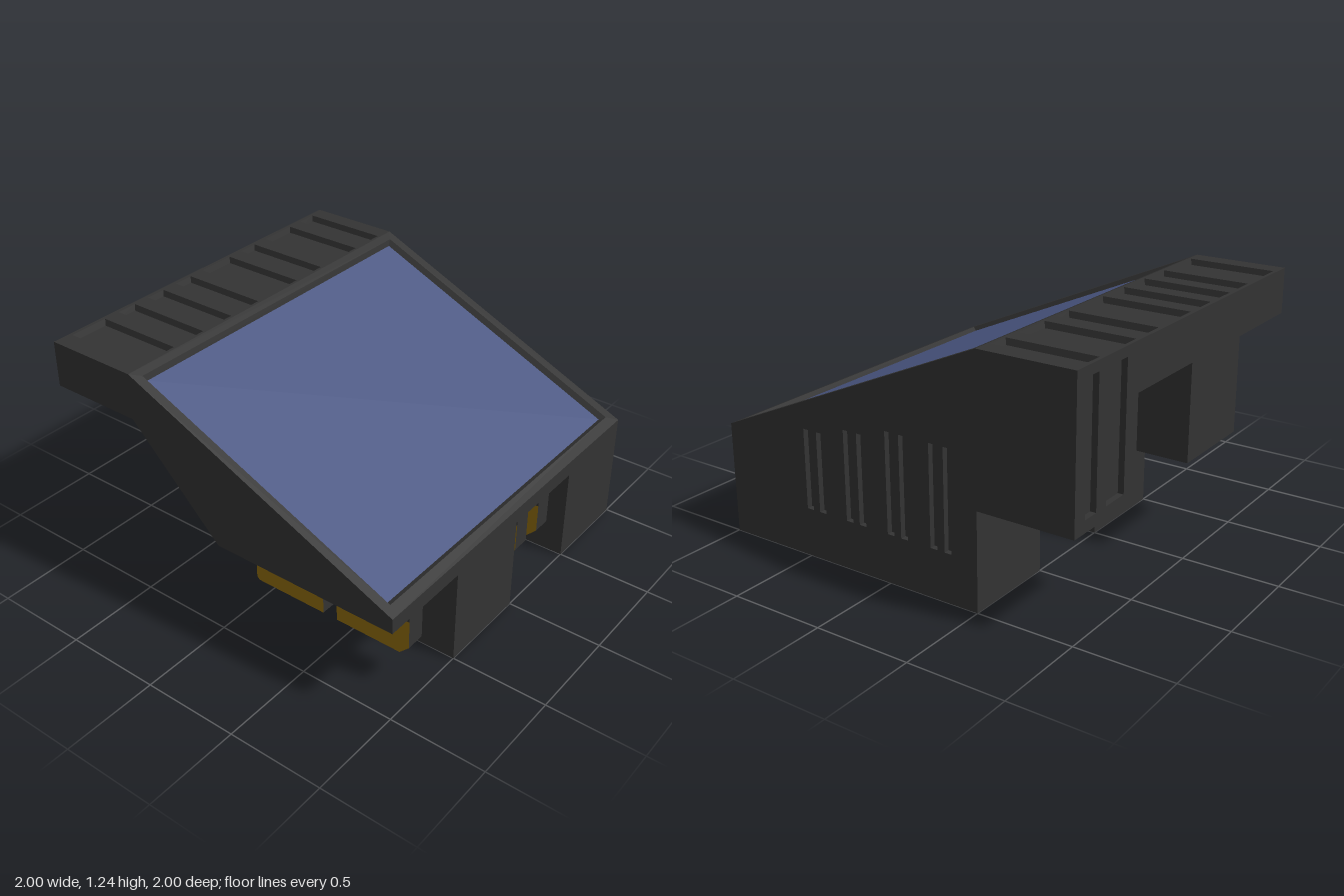
import * as THREE from 'three';

const dark = new THREE.MeshStandardMaterial({ color: 0x333333 });
const gold = new THREE.MeshStandardMaterial({ color: 0x8f6c0e });
const glass = new THREE.MeshStandardMaterial({ color: 0x4b5783 });

const rect = (a, b, c, d) => [[a, b], [c, b], [c, d], [a, d]];
const toVec = (pts) => pts.map(([x, y]) => new THREE.Vector2(x, y));
const X = new THREE.Vector3(1, 0, 0), Y = new THREE.Vector3(0, 1, 0), Z = new THREE.Vector3(0, 0, 1);
const neg = (v) => v.clone().negate();

// Tapered side walls of a sunken rectangle [a, b, c, d]
function recessWalls([a, b, c, d], depth, inset) {
  const top = rect(a, b, c, d);
  const low = rect(a + inset, b + inset, c - inset, d - inset);
  const pos = [];
  for (let i = 0; i < 4; i++) {
    const j = (i + 1) % 4;
    const p = [...top[i], 0], q = [...top[j], 0], r = [...low[j], -depth], s = [...low[i], -depth];
    pos.push(...p, ...q, ...r, ...p, ...r, ...s);
  }
  const g = new THREE.BufferGeometry();
  g.setAttribute('position', new THREE.Float32BufferAttribute(pos, 3));
  g.computeVertexNormals();
  return g;
}

// Flat wall in the plane (u, v) facing u x v, with optional sunken rectangles
function face(name, outline, origin, u, v, { holes = [], depth = 0.03, inset = 0, floor = dark } = {}) {
  const group = new THREE.Group();
  group.name = name;
  const shape = new THREE.Shape(toVec(outline));
  const add = (geo, mat, part) => {
    const m = new THREE.Mesh(geo, mat);
    m.name = part;
    group.add(m);
    return m;
  };
  for (const h of holes) {
    shape.holes.push(new THREE.Path(toVec(rect(...h))));
    add(recessWalls(h, depth, inset), dark, name + 'RecessWalls');
    const [a, b, c, d] = h;
    const f = add(new THREE.PlaneGeometry(c - a - 2 * inset, d - b - 2 * inset), floor, name + 'RecessFloor');
    f.position.set((a + c) / 2, (b + d) / 2, -depth);
  }
  add(new THREE.ShapeGeometry(shape), dark, name + 'Surface');
  const n = new THREE.Vector3().crossVectors(u, v);
  group.applyMatrix4(new THREE.Matrix4().makeBasis(u, v, n).setPosition(...origin));
  return group;
}

// Hanging sign: grey bar above two plates with gold faces
function hangingSign(z) {
  const sign = new THREE.Group();
  sign.name = 'hangingSign';
  const bar = new THREE.Mesh(new THREE.BoxGeometry(0.9, 0.1, 0.1), dark);
  bar.name = 'signBar';
  bar.position.set(0.5, 0.45, 0.05);
  sign.add(bar);
  const plates = [
    [[0.05, 0.4], [0.05, 0.215], [0.065, 0.2], [0.46, 0.2], [0.46, 0.4]],
    [[0.54, 0.4], [0.54, 0.2], [0.9, 0.2], [0.95, 0.25], [0.95, 0.4]],
  ];
  for (const pts of plates) {
    const geo = new THREE.ExtrudeGeometry(new THREE.Shape(toVec(pts)), { depth: 0.1, bevelEnabled: false });
    const plate = new THREE.Mesh(geo, [gold, dark]);
    plate.name = 'signPlate';
    sign.add(plate);
  }
  sign.position.z = z;
  return sign;
}

export function createModel() {
  const model = new THREE.Group();
  model.name = 'building';

  // Profiles seen from the front
  const roofLine = [[1, 0.58], [-0.5, 1.24], [-1, 1.24]];
  const archLine = [[-1, 1], [-0.5, 1], [0, 0.5], [1, 0.5]];
  const baseLine = [[-1, 0.5], [-0.5, 0.5], [-0.5, 0], [1, 0]];
  const flipX = (pts) => pts.map(([x, y]) => [-x, y]);
  const legSide = [...baseLine, ...[...archLine].reverse()];

  // Roof deck with a row of sunken vents
  const vents = [[-0.91, -0.8], [-0.71, -0.5], [-0.41, -0.3], [-0.21, 0],
    [0.09, 0.2], [0.29, 0.4], [0.49, 0.6], [0.69, 0.9]];
  model.add(face('roofDeck', rect(0, 0, 0.5, 2), [-1, 1.24, 1], X, neg(Z), {
    holes: vents.map(([a, b]) => [0.02, 1 - b, 0.485, 1 - a]), inset: 0.01,
  }));

  // Sloping roof with the large glazed panel
  const slope = new THREE.Vector3(1.5, -0.66, 0);
  const len = slope.length(), k = len / 1.5;
  model.add(face('slopedRoof', rect(0, 0, len, 2), [-0.5, 1.24, 1], slope.normalize(), neg(Z), {
    holes: [[0.04 * k, 0.05, 1.45 * k, 1.95]], depth: 0.025, inset: 0.02, floor: glass,
  }));

  // Back wall with four pairs of tall slots
  const slots = [];
  [0.66, 0.71, 0.76, 0.76].forEach((top, i) => {
    for (const dx of [0.04, -0.04]) {
      const u = -(0.45 - 0.25 * i + dx);
      slots.push([u - 0.02, 0.25, u + 0.02, top]);
    }
  });
  model.add(face('backWall', flipX([...baseLine, ...roofLine]), [0, 0, -1], neg(X), Y, { holes: slots }));

  // Tall end with two slots, and low end
  const tallEnd = [[-1, 1.24], [-1, 0.5], [-0.5, 0.5], [-0.5, 1], [0, 1], [0, 0.5], [0.5, 0.5], [0.5, 1], [1, 1], [1, 1.24]];
  model.add(face('tallEndWall', tallEnd, [-1, 0, 0], Z, Y, {
    holes: [[-0.92, 0.56, -0.83, 1.19], [-0.75, 0.56, -0.6, 1.19]],
  }));
  const lowEnd = [[-1, 0.58], [-1, 0], [-0.5, 0], [-0.5, 0.5], [0, 0.5], [0, 0], [0.5, 0], [0.5, 0.5], [1, 0.5], [1, 0.58]];
  model.add(face('lowEndWall', flipX(lowEnd), [1, 0, 0], neg(Z), Y));

  // Front fascia and the walls of the covered passages
  model.add(face('frontFascia', [...archLine, ...roofLine], [0, 0, 1], X, Y));
  model.add(face('frontWall', legSide, [0, 0, 0.5], X, Y));
  model.add(face('passageFrontWall', flipX(legSide), [0, 0, 0], neg(X), Y));
  model.add(face('passageBackWall', legSide, [0, 0, -0.5], X, Y));

  // Undersides: passage ceilings and block bottoms
  const undersides = [['ceiling', archLine, [0.5, -0.5]], ['blockBottom', baseLine, [0, -1]]];
  for (const [name, line, starts] of undersides) {
    for (const z of starts) {
      for (let i = 0; i < 3; i++) {
        const [x, y] = line[i];
        const u = new THREE.Vector3(line[i + 1][0] - x, line[i + 1][1] - y, 0);
        const w = u.length();
        model.add(face(name, rect(0, 0, w, 0.5), [x, y, z], u.normalize(), Z));
      }
    }
  }

  // Hanging signs and the wall light
  for (const z of [0.7, -0.2, -0.4]) model.add(hangingSign(z));
  const light = new THREE.Mesh(new THREE.BoxGeometry(0.3, 0.08, 0.04), gold);
  light.name = 'wallLight';
  light.position.set(-0.75, 0.96, 0.52);
  model.add(light);

  return model;
}
